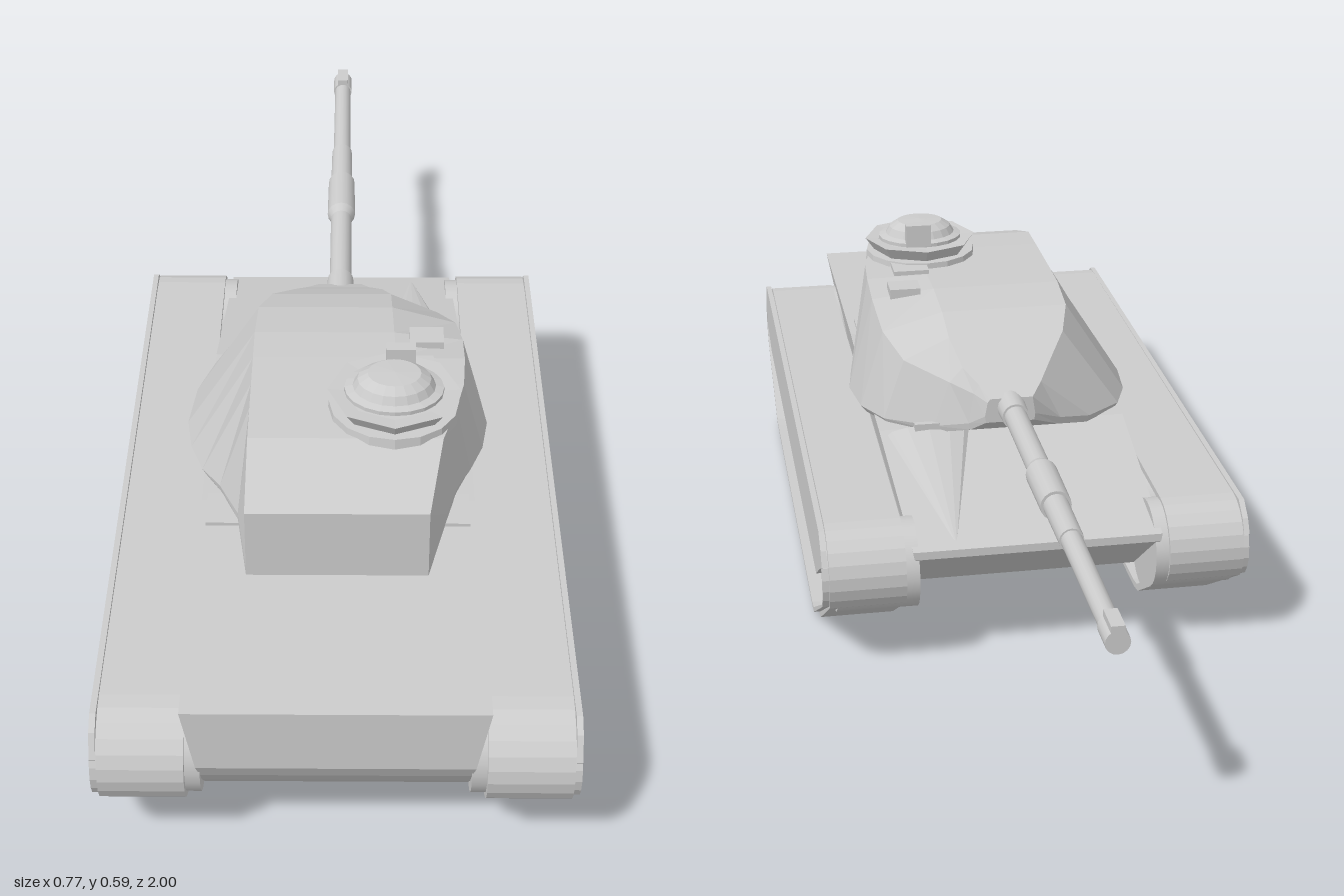
import * as THREE from 'three';

const flat = new THREE.MeshStandardMaterial({ color: 0xcccccc, flatShading: true, side: THREE.DoubleSide });
const smooth = new THREE.MeshStandardMaterial({ color: 0xcccccc });

// points on an ellipse in the [z, y] plane, angles in degrees
function arc(cz, cy, rz, ry, from, to, steps) {
  return Array.from({ length: steps + 1 }, (_, i) => {
    const t = (from + (to - from) * i / steps) * Math.PI / 180;
    return [cz + rz * Math.cos(t), cy + ry * Math.sin(t)];
  });
}

// side outline of the track loop, rounded at both ends
const trackLine = [...arc(0.9, 0.185, 0.1, 0.09, 90, -62, 10), [0.77, 0.003], [0.74, 0], [-0.13, 0],
  [-0.16, 0.005], ...arc(-0.31, 0.192, 0.086, 0.082, 220, 90, 8)];

function add(parent, name, geometry, material = flat, x = 0, y = 0, z = 0) {
  const mesh = new THREE.Mesh(geometry, material);
  mesh.name = name;
  mesh.position.set(x, y, z);
  parent.add(mesh);
  return mesh;
}

const inset = (pts, sz, sy) => pts.map(([z, y]) => [0.303 + (z - 0.303) * sz, 0.137 + (y - 0.137) * sy]);

// extrudes a [z, y] outline from x0 to x1
function prism(pts, x0, x1, hole) {
  const toV = p => new THREE.Vector2(p[0], p[1]);
  const shape = new THREE.Shape(pts.map(toV));
  if (hole) shape.holes.push(new THREE.Path(hole.map(toV)));
  const g = new THREE.ExtrudeGeometry(shape, { depth: x1 - x0, bevelEnabled: false });
  return g.rotateY(-Math.PI / 2).translate(x1, 0, 0);
}

// joins equal rings (counter-clockwise seen from +z), ordered from +z to -z
function loft(rings) {
  const n = rings[0].length, idx = [];
  for (let i = 0; i < rings.length - 1; i++) {
    for (let j = 0; j < n; j++) {
      const a = i * n + j, b = i * n + (j + 1) % n;
      idx.push(a, a + n, b, b, a + n, b + n);
    }
  }
  const last = (rings.length - 1) * n;
  for (let j = 1; j < n - 1; j++) idx.push(0, j, j + 1, last, last + j + 1, last + j);
  const g = new THREE.BufferGeometry();
  g.setAttribute('position', new THREE.Float32BufferAttribute(rings.flat(2), 3));
  g.setIndex(idx);
  g.computeVertexNormals();
  return g;
}

function lathe(pts, sides) {
  return new THREE.LatheGeometry(pts.map(p => new THREE.Vector2(p[0], p[1])), sides);
}

function buildHull() {
  const hull = new THREE.Group();
  hull.name = 'hull';
  add(hull, 'lowerHull', prism([[0.915, 0.1], [0.955, 0.145], [0.98, 0.18], [-0.325, 0.18], [-0.22, 0.1]],
    -0.213, 0.213));
  const upper = prism([[0.98, 0.18], [0.995, 0.21], [0.995, 0.325], [0.47, 0.325], [0.46, 0.312],
    [0.0, 0.308], [-0.385, 0.24], [-0.385, 0.225], [-0.325, 0.18]], -1, 1);
  // sides lean outwards towards the deck
  const p = upper.attributes.position;
  for (let i = 0; i < p.count; i++) {
    p.setX(i, p.getX(i) * (0.213 + 0.027 * (p.getY(i) - 0.18) / 0.145));
  }
  upper.computeVertexNormals();
  add(hull, 'upperHull', upper);
  add(hull, 'turretRearPlinth', new THREE.BoxGeometry(0.45, 0.02, 0.08), flat, 0, 0.321, 0.5);
  // driver's hood, a long half cone on the sloping nose
  const hood = add(hull, 'driverHood', new THREE.ConeGeometry(0.08, 0.36, 12).rotateX(-Math.PI / 2)
    .scale(1, 0.25, 1), flat, 0.145, 0.272, -0.195);
  hood.rotation.x = -0.17;
  add(hull, 'driverPeriscope', new THREE.BoxGeometry(0.065, 0.025, 0.012), flat, 0.14, 0.318, -0.03);
  return hull;
}

function buildTrack() {
  const track = new THREE.Group();
  track.name = 'track';
  add(track, 'trackBelt', prism(trackLine, 0.237, 0.373, inset(trackLine, 0.98, 0.92)));
  add(track, 'trackRim', prism(inset(trackLine, 0.988, 0.93), 0.37, 0.385, inset(trackLine, 0.974, 0.88)));
  add(track, 'sideSkirt', prism([[0.94, 0.272], [0.965, 0.255], [0.985, 0.215], [0.96, 0.175], [0.86, 0.145],
    [-0.25, 0.145], [-0.33, 0.195], [-0.385, 0.225], [-0.37, 0.25], [-0.34, 0.274]], 0.375, 0.385));
  for (let i = 0; i < 6; i++) {
    add(track, 'roadWheel', new THREE.CylinderGeometry(0.076, 0.076, 0.115, 24).rotateZ(Math.PI / 2),
      smooth, 0.3, 0.094, 0.762 - i * 0.184);
  }
  // end drums reach inwards to the hull
  for (const [z, r] of [[0.9, 0.087], [-0.309, 0.081]]) {
    add(track, 'endDrum', new THREE.CylinderGeometry(r, r, 0.146, 24).rotateZ(Math.PI / 2),
      smooth, 0.286, 0.187, z);
  }
  return track;
}

function buildTurret() {
  const turret = new THREE.Group();
  turret.name = 'turret';
  // z, roof left x, ridge x, right shoulder x, widest left/right x, roof y, shoulder y, bottom y, bottom chamfer
  const sections = [
    [0.68, -0.15, 0.1, 0.15, -0.15, 0.15, 0.463, 0.463, 0.335, 1],
    [0.535, -0.15, 0.1, 0.175, -0.17, 0.185, 0.507, 0.507, 0.335, 1],
    [0.45, -0.15, 0.1, 0.2, -0.205, 0.207, 0.508, 0.508, 0.328, 0.99],
    [0.38, -0.15, 0.1, 0.215, -0.24, 0.232, 0.508, 0.508, 0.31, 0.97],
    [0.3, -0.15, 0.1, 0.22, -0.265, 0.258, 0.508, 0.506, 0.3, 0.96],
    [0.22, -0.15, 0.098, 0.22, -0.276, 0.27, 0.507, 0.492, 0.296, 0.96],
    [0.12, -0.147, 0.096, 0.212, -0.265, 0.258, 0.495, 0.462, 0.298, 0.96],
    [0.04, -0.125, 0.095, 0.182, -0.236, 0.222, 0.472, 0.432, 0.302, 0.96],
    [-0.03, -0.085, 0.08, 0.105, -0.165, 0.135, 0.438, 0.41, 0.31, 0.96],
    [-0.07, -0.062, 0.055, 0.065, -0.1, 0.075, 0.417, 0.4, 0.328, 0.96],
    [-0.105, -0.04, 0.04, 0.045, -0.045, 0.05, 0.402, 0.395, 0.355, 0.96],
  ];
  add(turret, 'turretShell', loft(sections.map(([z, tl, rx, tr, wl, wr, yt, ys, yb, c]) => [
    [wl * c, yb, z], [wr * c, yb, z], [wr, yb + 0.013, z], [tr, ys, z], [rx, yt, z], [tl, yt, z],
    [wl, yb + 0.013, z]])));
  add(turret, 'sightBox', new THREE.BoxGeometry(0.06, 0.035, 0.05), flat, 0.155, 0.495, 0.235);
  add(turret, 'hatchStep', new THREE.BoxGeometry(0.07, 0.014, 0.06), flat, 0.13, 0.509, 0.335);

  // commander's cupola with an eight-sided ring of vision blocks
  const cupola = new THREE.Group();
  cupola.name = 'cupola';
  cupola.position.set(0.094, 0, 0.445);
  add(cupola, 'cupolaBase', new THREE.CylinderGeometry(0.11, 0.112, 0.02, 16), flat, 0, 0.509, 0);
  add(cupola, 'cupolaVisionRing', lathe([[0, 0.519], [0.095, 0.519], [0.112, 0.543], [0.085, 0.541]], 8));
  add(cupola, 'cupolaDome', lathe([[0.084, 0.541], [0.084, 0.548], [0.07, 0.552], [0.062, 0.566], [0.045, 0.577],
    [0, 0.579]], 20)).scale.z = 0.88;
  add(cupola, 'cupolaSight', new THREE.BoxGeometry(0.05, 0.045, 0.022), flat, 0.012, 0.565, -0.063);
  turret.add(cupola);
  return turret;
}

function buildGun() {
  const gun = new THREE.Group();
  gun.name = 'gun';
  gun.position.y = 0.383;
  // barrel steps as [start z, end z, start radius, end radius]
  const steps = [[-0.06, -0.15, 0.028, 0.025], [-0.14, -0.38, 0.021, 0.021], [-0.38, -0.4, 0.021, 0.028],
    [-0.4, -0.53, 0.028, 0.027], [-0.53, -0.66, 0.022, 0.021], [-0.66, -1, 0.018, 0.017], [-0.945, -1, 0.02, 0.02]];
  for (const [z0, z1, r0, r1] of steps) {
    add(gun, 'barrelSection', new THREE.CylinderGeometry(r1, r0, z0 - z1, 16).rotateX(-Math.PI / 2),
      smooth, 0, 0, (z0 + z1) / 2);
  }
  add(gun, 'muzzleBlock', new THREE.BoxGeometry(0.022, 0.018, 0.055), flat, 0, 0.019, -0.9725);
  return gun;
}

export function createModel() {
  const model = new THREE.Group();
  model.name = 'tank';
  const leftTrack = buildTrack();
  const rightTrack = buildTrack();
  leftTrack.name = 'leftTrack';
  rightTrack.name = 'rightTrack';
  rightTrack.scale.x = -1;
  model.add(buildHull(), leftTrack, rightTrack, buildTurret(), buildGun());
  return model;
}
